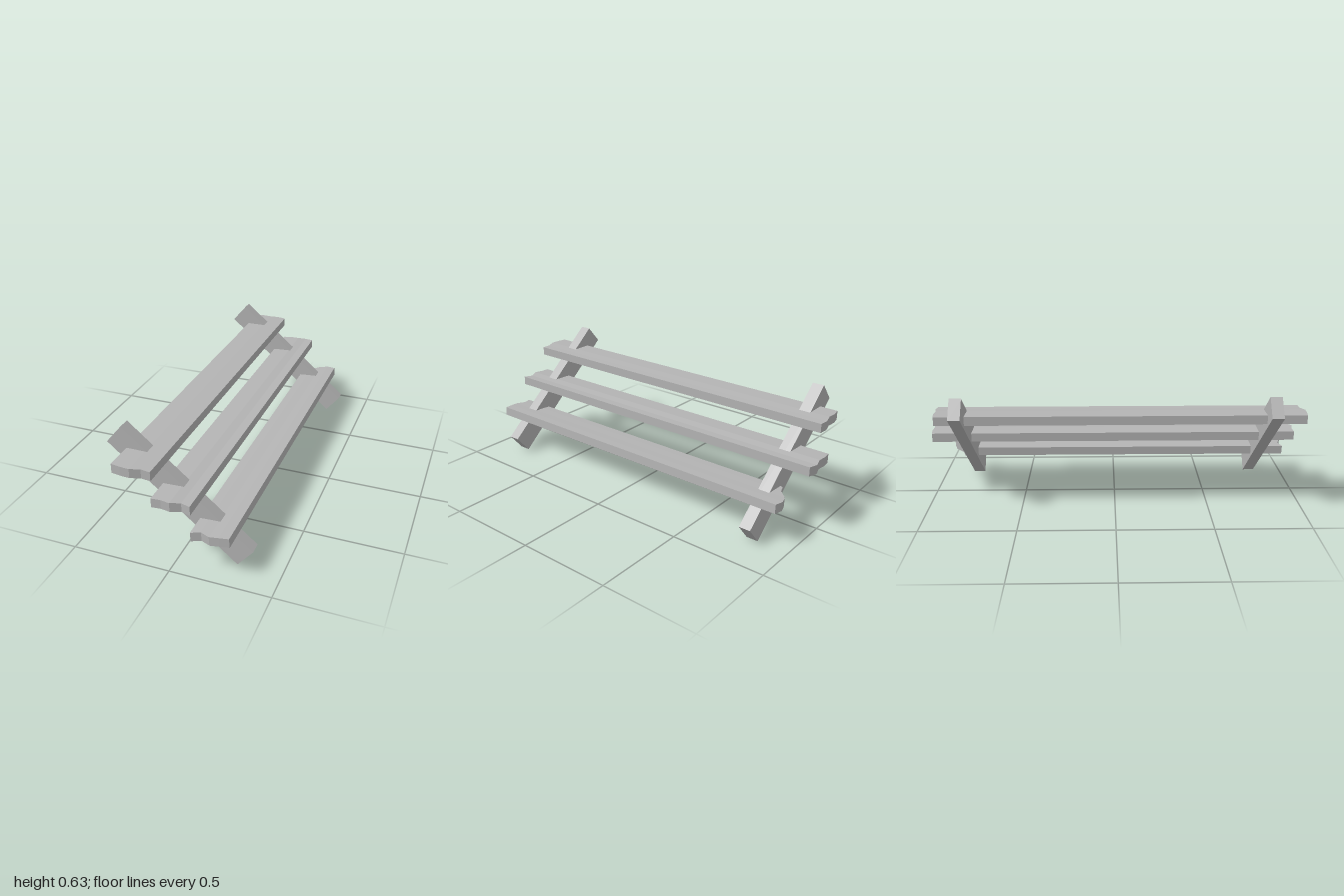
import * as THREE from 'three';

const wood = new THREE.MeshStandardMaterial({ color: 0xb4b4b4 });
wood.name = 'plain grey wood';

// Plank with ragged ends: a box in four strips whose columns follow the given lists.
// x0, x1: edges; top: upper heights; front, back: end positions; lean: sideways shift of the underside
function makeTread({ x0, x1, top, front, back, lean }) {
  const thickness = 0.047;
  const box = new THREE.BoxGeometry(1, 1, 1, 4, 1, 1);
  const p = box.attributes.position;
  for (let i = 0; i < p.count; i++) {
    const column = Math.round((p.getX(i) + 0.5) * 4);
    const under = p.getY(i) < 0;
    p.setXYZ(
      i,
      x0 + (x1 - x0) * column / 4 + (under ? lean : 0),
      top[column] - (under ? thickness : 0),
      p.getZ(i) > 0 ? front[column] : back[column]
    );
  }
  const geometry = box.toNonIndexed();
  geometry.computeVertexNormals();
  return new THREE.Mesh(geometry, wood);
}

export function createModel() {
  const model = new THREE.Group();
  model.name = 'wooden steps';

  // Two sloping beams that carry the treads
  const width = 0.062;
  const side = new THREE.Shape([
    new THREE.Vector2(-0.358, 0.538),
    new THREE.Vector2(0.28, 0),
    new THREE.Vector2(0.357, 0.093),
    new THREE.Vector2(-0.281, 0.63),
  ]);
  const beamGeometry = new THREE.ExtrudeGeometry(side, { depth: width, bevelEnabled: false });
  for (const [name, z] of [['frontBeam', 0.815], ['backBeam', -0.805]]) {
    const beam = new THREE.Mesh(beamGeometry, wood);
    beam.name = name;
    beam.position.z = z - width / 2;
    model.add(beam);
  }

  // Three rough planks, top to bottom
  const treads = {
    upperTread: {
      x0: -0.259, x1: -0.071, lean: 0,
      top: [0.524, 0.524, 0.524, 0.521, 0.519],
      front: [0.99, 0.997, 1.0, 0.98, 0.984],
      back: [-0.93, -0.938, -0.934, -0.946, -0.94],
    },
    middleTread: {
      x0: -0.083, x1: 0.107, lean: 0.001,
      top: [0.372, 0.374, 0.376, 0.372, 0.374],
      front: [0.975, 0.973, 0.983, 0.96, 0.975],
      back: [-0.985, -0.992, -0.988, -1.0, -0.987],
    },
    lowerTread: {
      x0: 0.097, x1: 0.283, lean: 0.003,
      top: [0.221, 0.224, 0.226, 0.229, 0.231],
      front: [0.963, 0.946, 0.967, 0.962, 0.956],
      back: [-0.85, -0.868, -0.914, -0.93, -0.92],
    },
  };
  for (const [name, spec] of Object.entries(treads)) {
    const tread = makeTread(spec);
    tread.name = name;
    model.add(tread);
  }
  return model;
}
